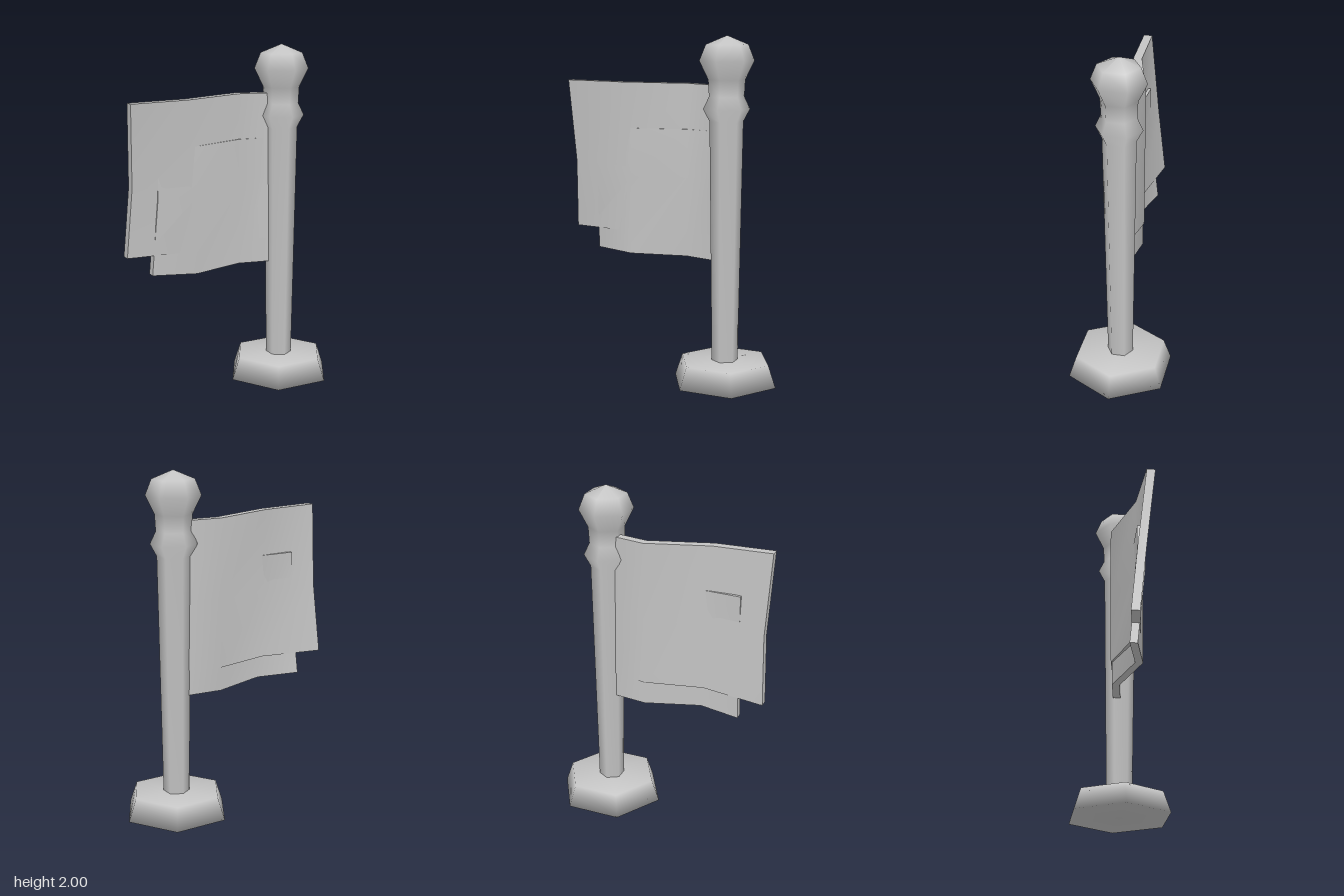
import * as THREE from 'three';

const POLE_X = 0.33;

// Six-sided smooth turned part from [radius, height] pairs
function turned(name, profile, material, turn = 0) {
  const points = profile.map(([r, y]) => new THREE.Vector2(r, y));
  const mesh = new THREE.Mesh(new THREE.LatheGeometry(points, 6), material);
  mesh.name = name;
  mesh.position.x = POLE_X;
  mesh.rotation.y = turn;
  return mesh;
}

// Thick wavy cloth: rows run bottom to top, columns run from the free end to the pole
function cloth(name, rows, thickness, material) {
  const nx = rows[0].z.length - 1, ny = rows.length - 1;
  const geometry = new THREE.BoxGeometry(1, 1, 1, nx, ny, 1);
  const pos = geometry.attributes.position;
  for (let i = 0; i < pos.count; i++) {
    const c = Math.round((pos.getX(i) + 0.5) * nx);
    const row = rows[Math.round((pos.getY(i) + 0.5) * ny)];
    const y = THREE.MathUtils.lerp(row.y[0], row.y[1], c / nx);
    pos.setXYZ(i, row.x[c], y, row.z[c] + pos.getZ(i) * thickness);
  }
  geometry.computeVertexNormals();
  const mesh = new THREE.Mesh(geometry, material);
  mesh.name = name;
  return mesh;
}

export function createModel() {
  const group = new THREE.Group();
  group.name = 'flagpole';
  const grey = new THREE.MeshStandardMaterial({ color: 0xc4c4c4 });
  grey.name = 'light grey';

  // Hexagonal foot with corners pointing along x
  group.add(turned('base', [[0, 0], [0.318, 0], [0.272, 0.13], [0, 0.13]], grey, Math.PI / 6));

  // Shaft widening upwards, collar and knob
  group.add(turned('pole', [
    [0.075, 0.1], [0.096, 1.52], [0.133, 1.59], [0.1, 1.66], [0.105, 1.755],
    [0.156, 1.86], [0.12, 1.95], [0, 2.0],
  ], grey));

  // Main flag, its free end swinging back towards the bottom
  group.add(cloth('flag', [
    { y: [0.845, 0.86], x: [-0.65, -0.27, 0.07, 0.3], z: [-0.04, 0.02, -0.06, -0.02] },
    { y: [1.25, 1.25], x: [-0.63, -0.28, 0.07, 0.3], z: [0.0, 0.03, -0.063, -0.02] },
    { y: [1.73, 1.72], x: [-0.65, -0.3, 0.07, 0.3], z: [0.05, 0.037, -0.065, -0.02] },
  ], 0.05, grey));

  // Shorter lower layer lying just in front
  group.add(cloth('lowerFlag', [
    { y: [0.725, 0.71], x: [-0.5, -0.25, 0.07, 0.3], z: [-0.03, 0.035, -0.055, -0.02] },
    { y: [1.18, 1.18], x: [-0.48, -0.25, 0.07, 0.3], z: [0.016, 0.036, -0.055, -0.021] },
    { y: [1.46, 1.46], x: [-0.48, -0.25, 0.07, 0.3], z: [0.017, 0.026, -0.054, -0.021] },
  ], 0.045, grey));

  return group;
}
